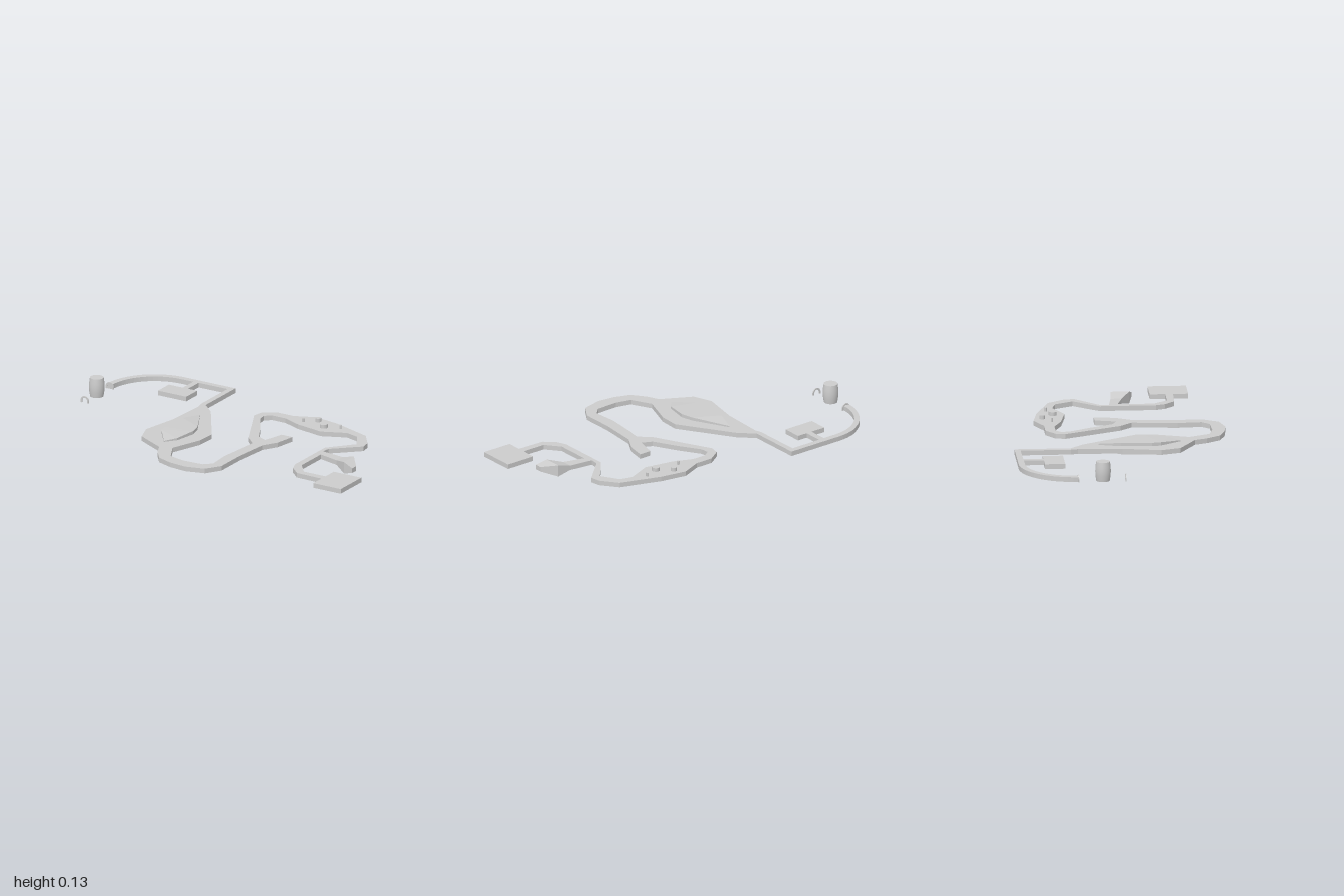
import * as THREE from 'three';
import { ConvexGeometry } from 'three/addons/geometries/ConvexGeometry.js';

const FLOOR = 0.021, TOP = 0.048, MID = 0.0345;

export function createModel() {
  const model = new THREE.Group();
  const flat = new THREE.MeshStandardMaterial({ color: 0xcccccc, flatShading: true });
  const smooth = new THREE.MeshStandardMaterial({ color: 0xcccccc });

  function add(name, geometry, material = flat) {
    const mesh = new THREE.Mesh(geometry, material);
    mesh.name = name;
    model.add(mesh);
    return mesh;
  }

  // Flat slab from a plan outline of [x, z] corners
  function slab(name, outline) {
    const shape = new THREE.Shape(outline.map(([x, z]) => new THREE.Vector2(x, -z)));
    const g = new THREE.ExtrudeGeometry(shape, { depth: TOP - FLOOR, bevelEnabled: false });
    g.rotateX(-Math.PI / 2).translate(0, FLOOR, 0);
    return add(name, g);
  }
  const room = (name, x0, x1, z0, z1) => slab(name, [[x0, z0], [x1, z0], [x1, z1], [x0, z1]]);

  // Convex solid from [x, z, halfHeight] points, mirrored about the mid level
  function swollen(name, points) {
    const v = points.flatMap(([x, z, h]) => [1, -1].map(s => new THREE.Vector3(x, MID + s * h, z)));
    return add(name, new ConvexGeometry(v));
  }

  // Curved entry tunnel running into a square corner
  const arc = r => Array.from({ length: 17 }, (_, i) => {
    const a = (i / 16) * Math.PI / 2;
    return [-0.665 - r * Math.cos(a), -0.29 - r * Math.sin(a)];
  });
  slab('entryTunnel', [
    ...arc(0.309), [-0.334, -0.599], [-0.334, -0.29], [-0.366, -0.29], [-0.366, -0.567],
    ...arc(0.274).reverse(),
  ]);
  room('sideRoomStem', -0.586, -0.552, -0.568, -0.455);
  room('sideRoom', -0.676, -0.493, -0.455, -0.343);

  // Large cavern with a raised and sunken pool
  slab('cavern', [
    [-0.334, -0.29], [-0.254, -0.215], [-0.06, 0.085], [-0.065, 0.2], [-0.13, 0.38], [-0.2, 0.405],
    [-0.37, 0.315], [-0.41, 0.207], [-0.366, -0.007], [-0.355, -0.25], [-0.366, -0.29],
  ]);
  swollen('cavernPool', [
    [-0.27, -0.13, 0.02], [-0.165, 0.065, 0.032], [-0.147, 0.137, 0.0325], [-0.172, 0.265, 0.026],
    [-0.22, 0.325, 0.019], [-0.308, 0.21, 0.032], [-0.32, 0.16, 0.0325], [-0.308, -0.01, 0.032],
  ]);

  // Winding passages
  slab('southBend', [
    [-0.13, 0.38], [-0.07, 0.495], [0.02, 0.517], [0.147, 0.512], [0.19, 0.47], [0.18, 0.335],
    [0.206, 0.084], [0.27, 0.084], [0.25, 0.3], [0.25, 0.48], [0.195, 0.565], [0.083, 0.594],
    [-0.02, 0.582], [-0.11, 0.55], [-0.168, 0.475], [-0.2, 0.405],
  ]);
  slab('fork', [
    [0.206, 0.084], [0.14, 0.02], [0.18, -0.023], [0.238, 0.003],
    [0.27, -0.115], [0.34, -0.115], [0.318, 0.003], [0.27, 0.084],
  ]);
  slab('northPassage', [
    [0.14, 0.02], [-0.02, -0.295], [-0.008, -0.35], [0.067, -0.4], [0.17, -0.4], [0.286, -0.45],
    [0.436, -0.424], [0.67, -0.345], [0.74, -0.253], [0.75, -0.195], [0.607, -0.06], [0.58, -0.065],
    [0.618, -0.113], [0.698, -0.205], [0.64, -0.306], [0.56, -0.328], [0.425, -0.27], [0.26, -0.3],
    [0.152, -0.344], [0.067, -0.344], [0.03, -0.316], [0.035, -0.27], [0.11, -0.152], [0.18, -0.023],
  ]);
  slab('eastPassage', [
    [0.607, -0.06], [0.602, -0.012], [0.74, 0.006], [0.74, 0.068], [0.618, 0.036], [0.618, 0.234],
    [0.682, 0.314], [0.825, 0.314], [0.825, 0.357], [0.66, 0.352], [0.602, 0.298], [0.58, 0.245],
    [0.58, -0.065],
  ]);
  swollen('spurChamber', [
    [0.74, 0.006, 0.0135], [0.74, 0.068, 0.0135], [0.817, 0.012, 0.0335],
    [0.817, 0.115, 0.0335], [0.88, 0.09, 0.0135], [0.88, 0.131, 0.0135],
  ]);
  room('eastRoom', 0.822, 1, 0.228, 0.441);

  // Pillars passing through the north chamber
  for (const [x, z, r] of [[0.33, -0.399, 0.016], [0.405, -0.336, 0.022], [0.262, -0.35, 0.006], [0.492, -0.368, 0.006]]) {
    const pillar = add('pillar', new THREE.CylinderGeometry(r, r, 0.059, 20));
    pillar.position.set(x, 0.0395, z);
  }

  // Barrel-shaped tower with slightly narrowed ends
  const profile = [[0, 0], [0.037, 0], [0.037, 0], [0.042, 0.03], [0.043, 0.055], [0.042, 0.08], [0.038, 0.109], [0.038, 0.109], [0, 0.109]];
  const tower = add('tower', new THREE.LatheGeometry(profile.map(p => new THREE.Vector2(...p)), 32), smooth);
  tower.position.set(-0.955, FLOOR + 0.001, -0.155);

  // Small arched doorways on either side of the tower
  const arch = new THREE.Shape();
  arch.moveTo(-0.026, 0);
  arch.lineTo(-0.026, 0.012);
  arch.absarc(0, 0.012, 0.026, Math.PI, 0, true);
  arch.lineTo(0.026, 0);
  arch.lineTo(0.017, 0);
  arch.lineTo(0.017, 0.012);
  arch.absarc(0, 0.012, 0.017, 0, Math.PI, false);
  arch.lineTo(-0.017, 0);
  const archGeometry = new THREE.ExtrudeGeometry(arch, { depth: 0.006, bevelEnabled: false, curveSegments: 10 });
  for (const z of [-0.293, -0.033]) {
    add('archway', archGeometry).position.set(-0.955, FLOOR, z);
  }

  return model;
}
